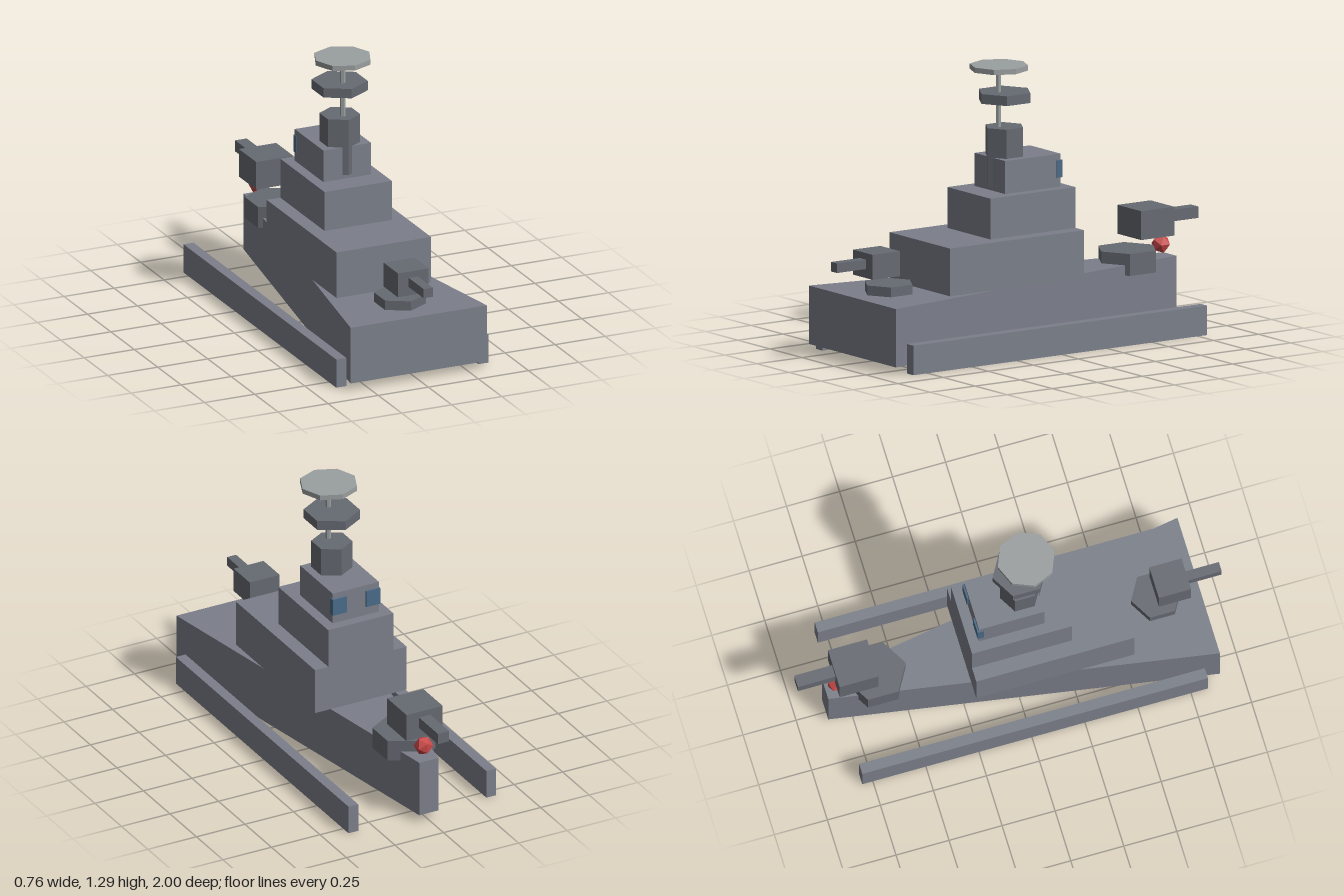
import * as THREE from 'three';

const paint = (color) => new THREE.MeshStandardMaterial({ color, flatShading: true });

export function createModel() {
  const ship = new THREE.Group();
  ship.name = 'warship';
  const hullGrey = paint(0x7b7f8a);
  const gunGrey = paint(0x666a72);
  const paleGrey = paint(0x9a9f9f);
  const glassBlue = paint(0x4a6a88);
  const lampRed = paint(0xc84848);

  const add = (name, geometry, material, parent = ship) => {
    const mesh = new THREE.Mesh(geometry, material);
    mesh.name = name;
    parent.add(mesh);
    return mesh;
  };
  // Box given by its limits on each axis
  const box = (name, [x0, x1], [y0, y1], [z0, z1], material, parent) => {
    const g = new THREE.BoxGeometry(x1 - x0, y1 - y0, z1 - z0);
    g.translate((x0 + x1) / 2, (y0 + y1) / 2, (z0 + z1) / 2);
    return add(name, g, material, parent);
  };
  // Upright prism with a corner pointing to +z
  const prism = (name, sides, r, [y0, y1], z, material, parent) => {
    const g = new THREE.CylinderGeometry(r, r, y1 - y0, sides);
    g.translate(0, (y0 + y1) / 2, z);
    return add(name, g, material, parent);
  };

  // Hull: a box narrowed towards the bow at -z
  const hull = box('hull', [-0.34, 0.34], [0.037, 0.306], [-0.863, 0.898], hullGrey);
  const p = hull.geometry.attributes.position;
  for (let i = 0; i < p.count; i++) if (p.getZ(i) < 0) p.setX(i, Math.sign(p.getX(i)) * 0.05);
  hull.geometry.computeVertexNormals();

  // Side floats and bridge windows, mirrored
  for (const [side, s] of [['left', 1], ['right', -1]]) {
    const span = (a, b) => (s > 0 ? [a, b] : [-b, -a]);
    box(side + 'Float', span(0.33, 0.38), [0, 0.136], [-0.8, 0.83], hullGrey);
    box(side + 'Window', span(0.05, 0.122), [0.757, 0.837], [-0.18, -0.15], glassBlue);
  }

  // Stepped superstructure
  box('lowerDeckhouse', [-0.236, 0.236], [0.306, 0.526], [-0.22, 0.525], hullGrey);
  box('upperDeckhouse', [-0.168, 0.168], [0.526, 0.714], [-0.22, 0.252], hullGrey);
  box('bridge', [-0.119, 0.119], [0.714, 0.866], [-0.172, 0.135], hullGrey);

  // Tower, mast and radar plates
  prism('tower', 6, 0.093, [0.733, 1.0], 0.055, gunGrey);
  prism('mast', 6, 0.013, [0.95, 1.27], 0.088, paleGrey);
  prism('lowerRadar', 6, 0.128, [1.116, 1.161], 0.054, gunGrey);
  prism('radarDish', 8, 0.134, [1.263, 1.287], 0.085, paleGrey);

  // Gun turrets: hexagonal mount, raised gun house and barrel
  const turret = (name, mount, house, barrel) => {
    const g = new THREE.Group();
    g.name = name;
    ship.add(g);
    prism('mount', 6, mount.r, mount.y, mount.z, gunGrey, g);
    box('gunHouse', [-house.w, house.w], house.y, house.z, gunGrey, g);
    box('barrel', [-barrel.w, barrel.w], barrel.y, barrel.z, gunGrey, g);
  };
  turret('sternTurret',
    { r: 0.118, y: [0.27, 0.351], z: 0.697 },
    { w: 0.077, y: [0.392, 0.507], z: [0.688, 0.84] },
    { w: 0.023, y: [0.433, 0.477], z: [0.82, 1] });
  turret('bowTurret',
    { r: 0.143, y: [0.259, 0.36], z: -0.626 },
    { w: 0.093, y: [0.41, 0.543], z: [-0.822, -0.638] },
    { w: 0.029, y: [0.461, 0.514], z: [-1, -0.8] });

  // Red lamp on the bow
  const lamp = add('bowLamp', new THREE.IcosahedronGeometry(0.045, 0), lampRed);
  lamp.position.set(0, 0.359, -0.812);

  return ship;
}
